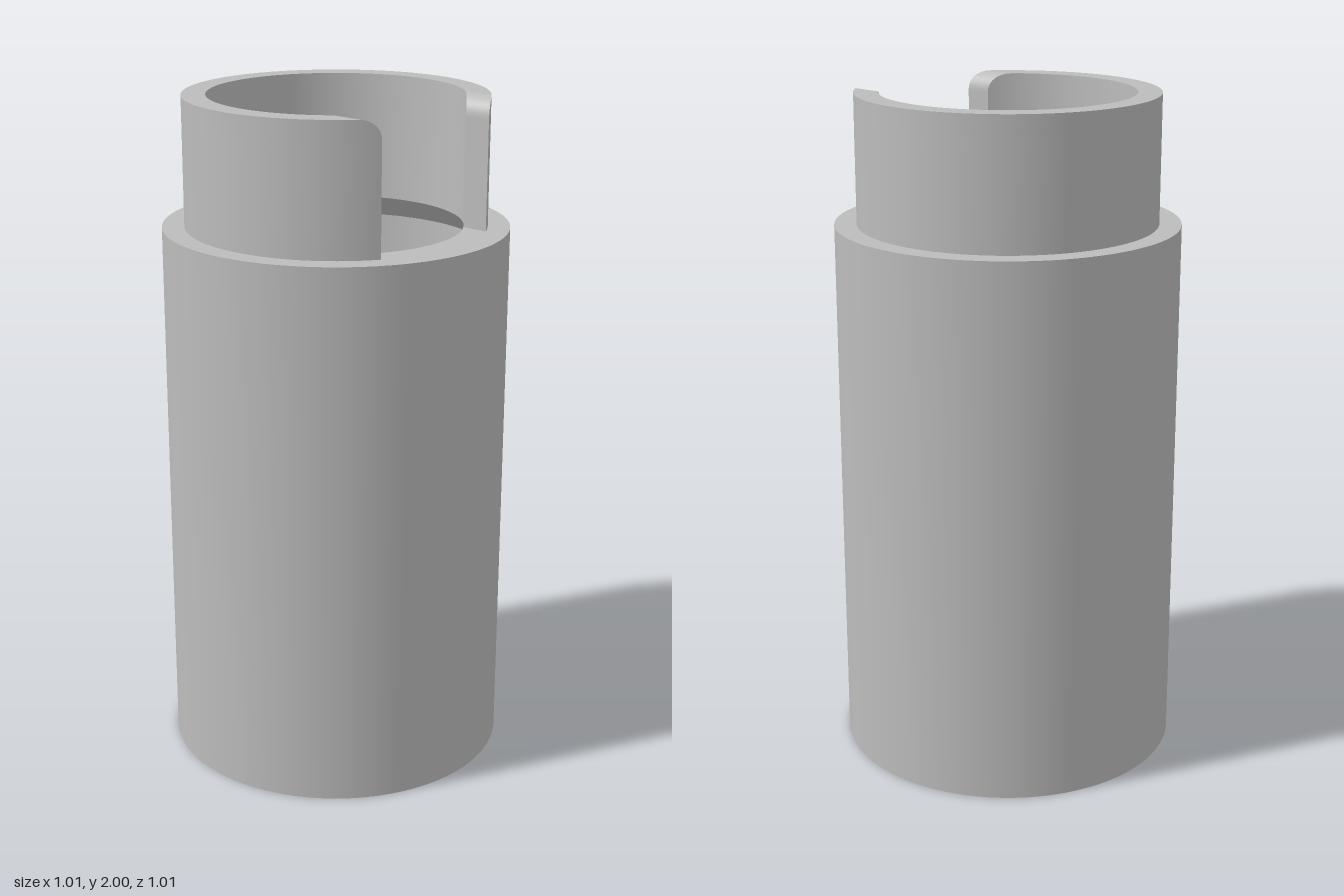
import * as THREE from 'three';
import { mergeGeometries } from 'three/addons/utils/BufferGeometryUtils.js';

const OUTER = 0.507, COLLAR = 0.442, INNER = 0.372; // radii
const SHOULDER = 1.62, TOP = 2, SLOT = 0.222, FILLET = 0.055;

// Surface patch from a rule f(u, v); it faces du x dv
function patch(f, nu, nv) {
  const pos = [], index = [];
  for (let j = 0; j <= nv; j++)
    for (let i = 0; i <= nu; i++) pos.push(...f(i / nu, j / nv));
  for (let j = 0; j < nv; j++)
    for (let i = 0; i < nu; i++) {
      const a = j * (nu + 1) + i, b = a + nu + 1;
      index.push(a, a + 1, b + 1, a, b + 1, b);
    }
  const g = new THREE.BufferGeometry();
  g.setAttribute('position', new THREE.Float32BufferAttribute(pos, 3));
  g.setIndex(index);
  g.computeVertexNormals();
  return g;
}

// Tube body: one lathe band per profile edge keeps the rims sharp
function bodyGeometry() {
  const profile = [
    [OUTER, 0], [OUTER, SHOULDER], [INNER, SHOULDER],
    [COLLAR, SHOULDER - 0.07], [COLLAR, 0], [OUTER, 0],
  ].map(([x, y]) => new THREE.Vector2(x, y));
  const bands = [];
  for (let i = 0; i < profile.length - 1; i++)
    bands.push(new THREE.LatheGeometry([profile[i], profile[i + 1]], 96));
  return mergeGeometries(bands);
}

// Collar: a ring with a parallel slot on +x whose upper corners are rounded
function collarGeometry() {
  const rows = [[SHOULDER, SLOT], [TOP - FILLET - 0.005, SLOT]]; // [height, half slot width]
  for (let i = 0; i <= 10; i++) {
    const t = (i / 10) * Math.PI / 2;
    rows.push([TOP - FILLET * (1 - Math.sin(t)), SLOT + FILLET * (1 - Math.cos(t))]);
  }
  const n = rows.length - 1;
  const point = (r, around, v) => {
    const [y, z] = rows[Math.round(v * n)];
    const end = Math.asin(z / r);
    const a = end + around * (2 * Math.PI - 2 * end);
    return [r * Math.cos(a), y, -r * Math.sin(a)];
  };
  const radius = (t) => INNER + (COLLAR - INNER) * t;
  return mergeGeometries([
    patch((u, v) => point(COLLAR, u, v), 96, n),        // outer wall
    patch((u, v) => point(INNER, 1 - u, v), 96, n),     // inner wall
    patch((u, v) => point(radius(u), 0, v), 4, n),      // slot side at the back
    patch((u, v) => point(radius(1 - u), 1, v), 4, n),  // slot side at the front
    patch((u, v) => point(radius(u), v, 1), 4, 96),     // top rim
  ]);
}

export function createModel() {
  const grey = new THREE.MeshStandardMaterial({ color: 0xbcbcbc });
  grey.name = 'grey';
  const group = new THREE.Group();
  group.name = 'slottedSleeve';
  const add = (name, geometry) => {
    const mesh = new THREE.Mesh(geometry, grey);
    mesh.name = name;
    group.add(mesh);
  };
  add('body', bodyGeometry());
  add('slottedCollar', collarGeometry());
  return group;
}
